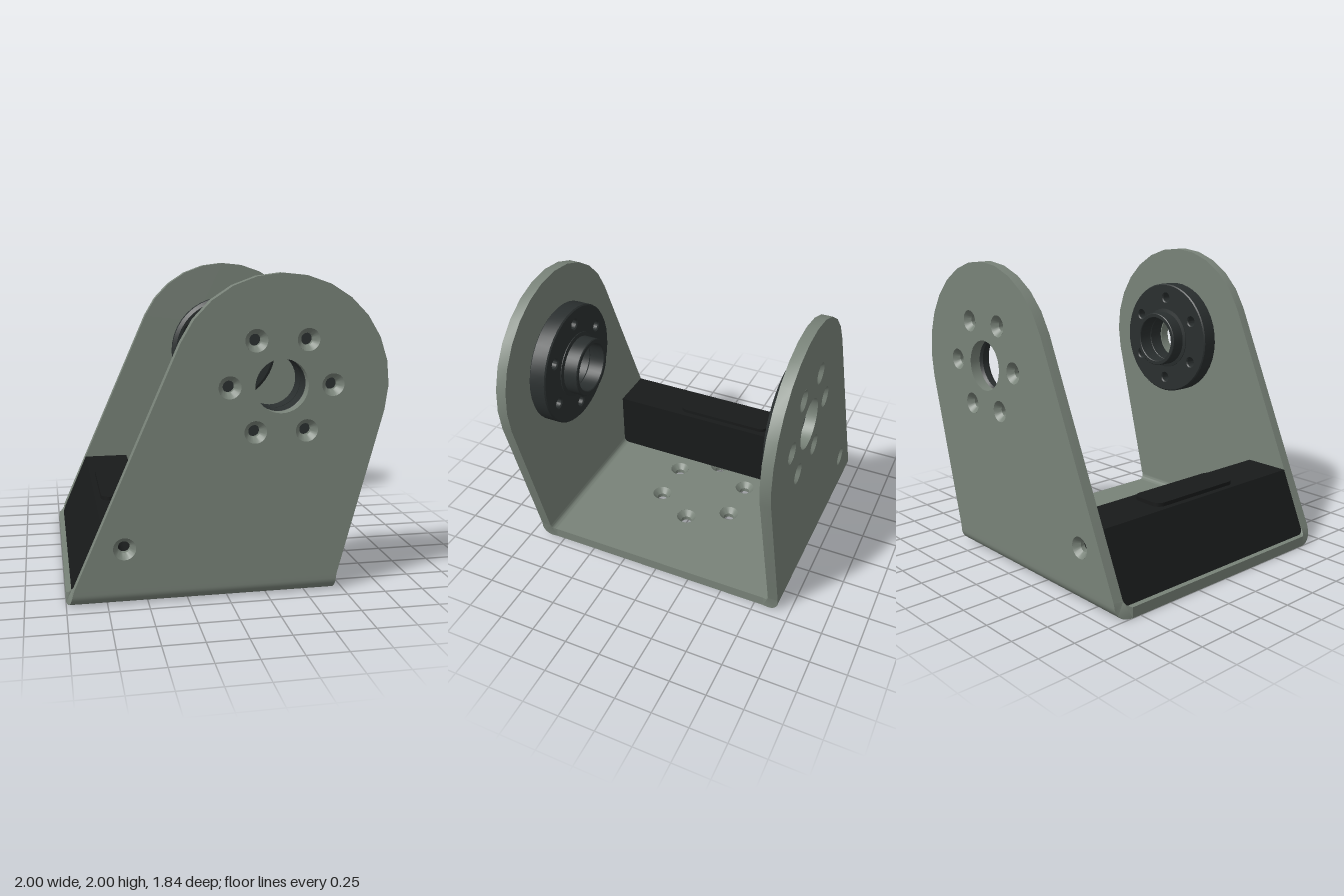
import * as THREE from 'three';
import { toCreasedNormals } from 'three/addons/utils/BufferGeometryUtils.js';

const metal = new THREE.MeshStandardMaterial({ color: 0x788278 });
const dark = new THREE.MeshStandardMaterial({ color: 0x2a2f2f });
const black = new THREE.MeshStandardMaterial({ color: 0x181a1a });

const T = 0.07;                      // sheet thickness
const AXIS = [0.322, 1.328];         // pivot axis in x, y
const HOLE = 0.07, BORE = 0.166;
const IN = 0.85, OUT = 0.92;         // inner and outer face of the cheeks
const BEND = 0.11, LEFT = -0.953, RIGHT = 0.7; // where the cheeks meet the bends

const poly = pts => new THREE.Shape(pts.map(p => new THREE.Vector2(...p)));
const circle = (x, y, r) => new THREE.Path().absarc(x, y, r, 0, Math.PI * 2, true);
const ring = (cx, cy, r, degrees) => degrees.map(d => {
  const a = THREE.MathUtils.degToRad(d);
  return [cx + r * Math.cos(a), cy + r * Math.sin(a)];
});
const SIX = [0, 60, 120, 180, 240, 300];

function extrude(shape, depth, bevel = 0) {
  const g = new THREE.ExtrudeGeometry(shape, {
    depth: depth - 2 * bevel, curveSegments: 20, bevelEnabled: bevel > 0,
    bevelSize: bevel, bevelThickness: bevel, bevelOffset: -bevel, bevelSegments: 1,
  });
  return toCreasedNormals(g.translate(0, 0, bevel), 0.5);
}

function add(parent, name, geometry, material) {
  const mesh = new THREE.Mesh(geometry, material);
  mesh.name = name;
  parent.add(mesh);
  return mesh;
}

// Conical screw seat that lines a hole in the sheet, wide end at y = T
function countersink() {
  const p = [[0.037, 0], [HOLE, 0], [HOLE, T], [0.037, 0.03], [0.037, 0]];
  return toCreasedNormals(new THREE.LatheGeometry(p.map(q => new THREE.Vector2(...q)), 28), 0.5);
}

// Cheek outline: straight sides tangent to a round top
function cheekShape() {
  const R = 0.675, N = 13, pts = [[LEFT, BEND], [RIGHT, BEND]];
  for (let i = 0; i <= N; i++) pts.push(...ring(...AXIS, R, [-14 + 170 * i / N]));
  return poly(pts);
}

// Rounded corner between base and cheek; its ends slant to meet both outlines
function bendGeometry(side) {
  const s = new THREE.Shape();
  s.moveTo(0.81, 0);
  s.lineTo(0.84, 0);
  s.absarc(0.84, 0.08, 0.08, -Math.PI / 2, 0, false);
  s.lineTo(OUT, BEND);
  s.lineTo(IN, BEND);
  s.absarc(0.81, BEND, 0.04, 0, -Math.PI / 2, true);
  const g = new THREE.ExtrudeGeometry(s, { depth: 1, curveSegments: 6, bevelEnabled: false });
  g.translate(0, 0, -0.5).rotateY(-side * Math.PI / 2);
  const p = g.attributes.position;
  for (let i = 0; i < p.count; i++) {
    const t = Math.atan2(Math.abs(p.getZ(i)) - 0.81, BEND - p.getY(i)) / (Math.PI / 2);
    const k = THREE.MathUtils.clamp(t, 0, 1);
    p.setX(i, p.getX(i) < 0 ? THREE.MathUtils.lerp(-1, LEFT, k) : THREE.MathUtils.lerp(0.68, RIGHT, k));
  }
  return toCreasedNormals(g, 0.5);
}

function discShape(holes, r) {
  const s = new THREE.Shape().absarc(0, 0, 0.415, 0, Math.PI * 2, false);
  s.holes.push(circle(0, 0, BORE), ...holes.map(h => circle(...h, r)));
  return s;
}

export function createModel() {
  const model = new THREE.Group();
  model.name = 'bracket';

  // Base sheet with countersunk screw ring
  const baseHoles = ring(-0.16, 0, 0.321, SIX);
  const base = poly([[-1, -0.81], [0.68, -0.81], [0.68, 0.81], [-1, 0.81]]);
  base.holes.push(...baseHoles.map(h => circle(...h, HOLE)));
  add(model, 'base', extrude(base, T).rotateX(-Math.PI / 2), metal);
  for (const [x, z] of baseHoles) add(model, 'baseScrewSeat', countersink(), metal).position.set(x, 0, z);

  // Two mirrored cheeks with bends and screw seats facing outward
  const cheekHoles = [...ring(...AXIS, 0.321, SIX), [-0.643, 0.36]];
  for (const side of [1, -1]) {
    const label = side > 0 ? 'front' : 'rear';
    const shape = cheekShape();
    shape.holes.push(circle(...AXIS, BORE), ...cheekHoles.map(h => circle(...h, HOLE)));
    add(model, label + 'Cheek', extrude(shape, T), metal).position.z = side > 0 ? IN : -OUT;
    add(model, label + 'Bend', bendGeometry(side), metal);
    for (const [x, y] of cheekHoles) {
      const seat = add(model, label + 'ScrewSeat', countersink(), metal);
      seat.position.set(x, y, side * IN);
      seat.rotation.x = side * Math.PI / 2;
    }
  }

  // Front flange with a hollow hub pointing inward
  const horn = new THREE.Group();
  horn.name = 'frontFlange';
  horn.position.set(...AXIS, 0);
  model.add(horn);
  const hornHoles = ring(0, 0, 0.31, SIX.map(d => d + 30));
  add(horn, 'flangeDisc', extrude(discShape(hornHoles, 0.033), 0.12, 0.008), dark).position.z = 0.73;
  const hubProfile = [[BORE, 0], [0.225, 0], [0.225, 0.006], [0.2, 0.012], [0.2, 0.105], [0.195, 0.11],
    [0.171, 0.11], [BORE, 0.105], [BORE, 0]].map(p => new THREE.Vector2(...p));
  const hub = add(horn, 'hub', toCreasedNormals(new THREE.LatheGeometry(hubProfile, 40), 0.5), dark);
  hub.rotation.x = -Math.PI / 2;
  hub.position.z = 0.731;

  // Rear bearing disc, chamfered, with three extra holes
  const discHoles = ring(0, 0, 0.321, [...SIX, 30, 150, 270]);
  const disc = add(model, 'rearDisc', extrude(discShape(discHoles, 0.026), 0.09, 0.026), dark);
  disc.position.set(...AXIS, -IN);

  // Solid cross block between the cheeks, bored for the lower screws
  const block = poly([[-0.965, T], [-0.46, T], [-0.46, 0.5], [-0.78, 0.5]]);
  block.holes.push(circle(-0.643, 0.36, 0.037));
  add(model, 'crossBlock', extrude(block, 2 * IN), black).position.z = -IN;

  // Rounded pad on top of the block
  const pad = new THREE.Shape(), w = 0.12, h = 0.36, r = 0.06;
  pad.absarc(w - r, h - r, r, 0, Math.PI / 2);
  pad.absarc(r - w, h - r, r, Math.PI / 2, Math.PI);
  pad.absarc(r - w, r - h, r, Math.PI, Math.PI * 1.5);
  pad.absarc(w - r, r - h, r, Math.PI * 1.5, Math.PI * 2);
  add(model, 'pad', extrude(pad, 0.025).rotateX(-Math.PI / 2), black).position.set(-0.62, 0.5, 0);

  return model;
}
